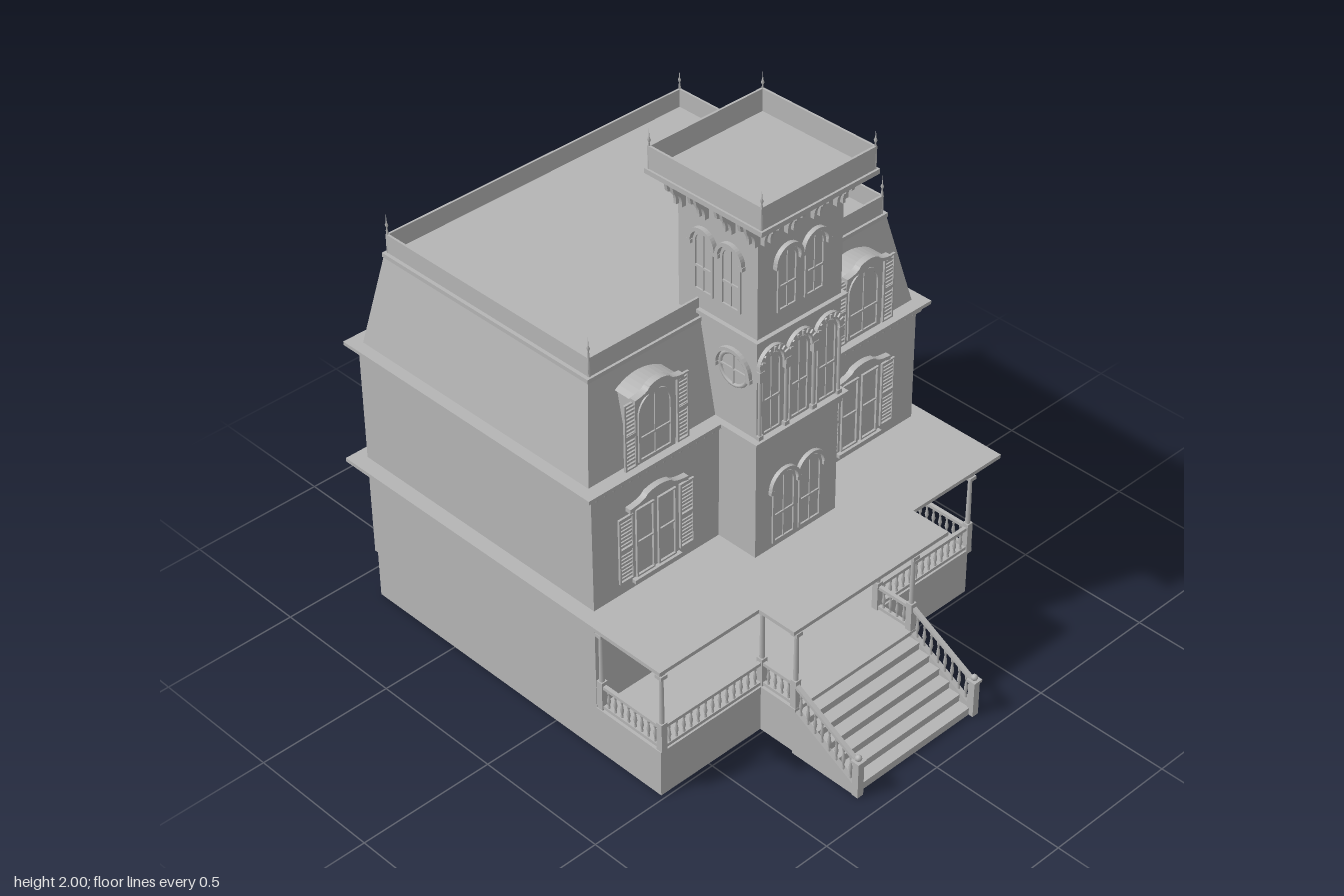
import * as THREE from 'three';
import { ConvexGeometry } from 'three/addons/geometries/ConvexGeometry.js';

const grey = new THREE.MeshStandardMaterial({ color: 0xb5b5b5 });
grey.name = 'stone grey';

function add(parent, name, geo, x = 0, y = 0, z = 0) {
  const m = new THREE.Mesh(geo, grey);
  m.name = name;
  m.position.set(x, y, z);
  parent.add(m);
  return m;
}
// Box from its limits
function box(parent, name, x0, x1, y0, y1, z0, z1) {
  add(parent, name, new THREE.BoxGeometry(x1 - x0, y1 - y0, z1 - z0),
    (x0 + x1) / 2, (y0 + y1) / 2, (z0 + z1) / 2);
}
function extrude(shape, depth) {
  return new THREE.ExtrudeGeometry(shape, { depth, bevelEnabled: false, curveSegments: 10 });
}
function lathe(points, sides) {
  return new THREE.LatheGeometry(points.map(p => new THREE.Vector2(...p)), sides);
}
// Group whose local x runs along a wall and local z points out of it
function wallFace(parent, name, x, z, angle) {
  const g = new THREE.Group();
  g.name = name;
  g.position.set(x, 0, z);
  g.rotation.y = angle;
  parent.add(g);
  return g;
}

const balusterGeo = lathe([[0.005, 0], [0.005, 0.01], [0.003, 0.014], [0.007, 0.03], [0.003, 0.055], [0.005, 0.06], [0.005, 0.075]], 6);
const finialGeo = lathe([[0.006, 0], [0.004, 0.08], [0.002, 0.09], [0.006, 0.1], [0.002, 0.11], [0, 0.14]], 6);
const dropGeo = new THREE.CylinderGeometry(0.008, 0.003, 0.014, 6);

function archPath(Type, r, y0, spring) {
  const s = new Type();
  s.moveTo(-r, y0);
  s.lineTo(r, y0);
  s.lineTo(r, spring);
  s.absarc(0, spring, r, 0, Math.PI, false);
  s.lineTo(-r, y0);
  return s;
}
function archWindow(face, x, r, y0, spring, z = 0) {
  const s = archPath(THREE.Shape, r, y0, spring);
  s.holes.push(archPath(THREE.Path, r - 0.009, y0 + 0.009, spring));
  add(face, 'arched window frame', extrude(s, 0.006), x, 0, z);
  const mid = (y0 + spring) / 2;
  box(face, 'window rail', x - r, x + r, mid - 0.004, mid + 0.004, z, z + 0.005);
  box(face, 'window mullion', x - 0.002, x + 0.002, y0, spring + r - 0.004, z, z + 0.004);
}
function archHood(face, x, spring, r, w, depth) {
  const s = new THREE.Shape();
  s.absarc(0, 0, r, 0, Math.PI, false);
  s.absarc(0, 0, r - w, Math.PI, 0, true);
  add(face, 'arch hood', extrude(s, depth), x, spring, 0);
  for (const side of [-1, 1]) {
    const c = x + side * (r - w / 2);
    box(face, 'hood stop', c - 0.008, c + 0.008, spring - 0.014, spring, 0, depth);
  }
}
function rectFrame(face, name, x0, x1, y0, y1, z, t) {
  box(face, name, x0, x0 + t, y0, y1, z, z + 0.008);
  box(face, name, x1 - t, x1, y0, y1, z, z + 0.008);
  box(face, name, x0, x1, y0, y0 + t, z, z + 0.008);
  box(face, name, x0, x1, y1 - t, y1, z, z + 0.008);
}
function shutter(face, x0, x1, y0, y1, z) {
  rectFrame(face, 'shutter frame', x0, x1, y0, y1, z, 0.006);
  const mid = (y0 + y1) / 2;
  box(face, 'shutter rail', x0, x1, mid - 0.006, mid + 0.006, z, z + 0.008);
  for (let y = y0 + 0.012; y < y1 - 0.008; y += 0.014)
    box(face, 'shutter slat', x0, x1, y, y + 0.007, z, z + 0.005);
}
// Curved crest over a window
function crest(face, x, y, half, z, depth) {
  const s = new THREE.Shape();
  s.moveTo(-half, 0);
  s.quadraticCurveTo(0, 0.035, half, 0);
  s.lineTo(half, 0.016);
  s.quadraticCurveTo(half * 0.5, 0.02, half * 0.4, 0.04);
  s.quadraticCurveTo(0, 0.058, -half * 0.4, 0.04);
  s.quadraticCurveTo(-half * 0.5, 0.02, -half, 0.016);
  add(face, 'window crest', extrude(s, depth), x, y, z);
}
function pairWindow(face, x, y0, y1) {
  const mid = (y0 + y1) / 2;
  for (const s of [-1, 1]) {
    const c = x + s * 0.046;
    rectFrame(face, 'window sash', c - 0.038, c + 0.038, y0, y1, 0, 0.006);
    box(face, 'sash bar', c - 0.038, c + 0.038, mid - 0.003, mid + 0.003, 0, 0.006);
  }
}
// Open-topped parapet with corner finials
function parapet(parent, x0, x1, y0, y1, hz) {
  const t = 0.008;
  for (const s of [-1, 1]) {
    box(parent, 'parapet side', x0, x1, y0, y1, s > 0 ? hz - t : -hz, s > 0 ? hz : -hz + t);
    const x = s > 0 ? x1 - t : x0;
    box(parent, 'parapet end', x, x + t, y0, y1, -hz, hz);
    for (const fx of [x0 + 0.004, x1 - 0.004]) add(parent, 'finial', finialGeo, fx, y0, s * (hz - 0.004));
  }
}
function railing(parent, x0, z0, x1, z1) {
  const dx = x1 - x0, dz = z1 - z0, n = Math.round(Math.hypot(dx, dz) / 0.03);
  const h = 0.007;
  for (const y of [0.2, 0.28])
    box(parent, 'porch rail', x0 - h, x1 + h, y - 0.006, y + 0.006, z0 - h, z1 + h);
  for (let i = 1; i < n; i++)
    add(parent, 'baluster', balusterGeo, x0 + dx * i / n, 0.203, z0 + dz * i / n);
}
function drops(parent, x0, z0, x1, z1, y) {
  const n = Math.round(Math.hypot(x1 - x0, z1 - z0) / 0.035);
  for (let i = 0; i <= n; i++)
    add(parent, 'eave drop', dropGeo, x0 + (x1 - x0) * i / n, y, z0 + (z1 - z0) * i / n);
}

export function createModel() {
  const house = new THREE.Group();
  house.name = 'house';

  // Main block
  box(house, 'foundation', -0.88, 0.2, 0, 0.19, -0.707, 0.707);
  box(house, 'walls', -0.885, 0.203, 0.19, 1.03, -0.714, 0.714);
  box(house, 'lower cornice', -0.93, 0.55, 0.568, 0.582, -0.768, 0.768);
  box(house, 'lower cornice bed', -0.905, 0.225, 0.555, 0.568, -0.735, 0.735);
  box(house, 'upper cornice', -0.915, 0.235, 1.032, 1.045, -0.75, 0.75);
  box(house, 'upper cornice bed', -0.895, 0.215, 1.005, 1.032, -0.725, 0.725);
  drops(house, 0.224, -0.71, 0.224, 0.71, 1.024);

  // Mansard roof
  const corners = [];
  for (const s of [-1, 1]) for (const [x, y, z] of [[-0.867, 1.045, 0.708], [0.187, 1.045, 0.708], [-0.813, 1.375, 0.64], [0.122, 1.375, 0.64]])
    corners.push(new THREE.Vector3(x, y, s * z));
  add(house, 'mansard roof', new ConvexGeometry(corners));
  box(house, 'roof ledge', -0.818, 0.127, 1.365, 1.38, -0.645, 0.645);
  parapet(house, -0.81, 0.118, 1.38, 1.447, 0.632);

  // Tower
  const tower = new THREE.Group();
  tower.name = 'tower';
  house.add(tower);
  box(tower, 'tower shaft', 0.03, 0.365, 0.575, 1.845, -0.18, 0.18);
  box(tower, 'tower lower trim', 0.15, 0.388, 1.03, 1.045, -0.203, 0.203);
  box(tower, 'tower lower trim bed', 0.15, 0.374, 1.005, 1.03, -0.19, 0.19);
  box(tower, 'tower middle trim', 0.12, 0.38, 1.4, 1.413, -0.195, 0.195);
  box(tower, 'tower cornice', -0.045, 0.445, 1.845, 1.862, -0.247, 0.247);
  box(tower, 'tower cornice bed', -0.015, 0.415, 1.832, 1.845, -0.22, 0.22);
  parapet(tower, -0.037, 0.437, 1.86, 1.94, 0.24);
  const bracket = new THREE.Shape();
  bracket.moveTo(0, 0);
  bracket.lineTo(0.016, 0);
  bracket.quadraticCurveTo(0.014, 0.05, 0.05, 0.06);
  bracket.lineTo(0.055, 0.085);
  bracket.lineTo(0, 0.085);
  const bracketGeo = extrude(bracket, 0.012);
  bracketGeo.translate(0, 0, -0.006);
  bracketGeo.rotateY(-Math.PI / 2);

  const towerFront = wallFace(tower, 'tower front', 0.365, 0, Math.PI / 2);
  const towerLeft = wallFace(tower, 'tower side', 0.1975, 0.18, 0);
  const towerRight = wallFace(tower, 'tower side', 0.1975, -0.18, Math.PI);
  const towerBack = wallFace(tower, 'tower back', 0.03, 0, -Math.PI / 2);
  for (const face of [towerFront, towerLeft, towerRight, towerBack]) {
    for (const x of [-0.165, -0.14, -0.067, -0.043, 0.043, 0.067, 0.14, 0.165])
      add(face, 'eave bracket', bracketGeo, x, 1.75, 0);
    if (face === towerBack) continue;
    for (const s of [-1, 1]) {
      archWindow(face, s * 0.058, 0.042, 1.475, 1.65);
      archHood(face, s * 0.058, 1.652, 0.057, 0.012, 0.016);
    }
  }
  // Twin arched window, then a three-bay arcade above
  for (const s of [-1, 1]) {
    archWindow(towerFront, s * 0.058, 0.05, 0.6, 0.81);
    archHood(towerFront, s * 0.058, 0.815, 0.064, 0.011, 0.014);
  }
  for (const x of [-0.12, 0, 0.12]) {
    archWindow(towerFront, x, 0.042, 1.05, 1.3);
    archHood(towerFront, x, 1.31, 0.062, 0.02, 0.014);
    for (let i = 1; i < 8; i++) {
      const a = Math.PI * i / 8;
      const block = add(towerFront, 'arch block', new THREE.BoxGeometry(0.014, 0.007, 0.02),
        x + 0.053 * Math.cos(a), 1.31 + 0.053 * Math.sin(a), 0.01);
      block.rotation.z = a;
    }
  }
  for (const x of [-0.172, -0.06, 0.06, 0.172]) {
    add(towerFront, 'colonnette', new THREE.CylinderGeometry(0.006, 0.006, 0.22, 8), x, 1.155, 0.006);
    box(towerFront, 'colonnette capital', x - 0.011, x + 0.011, 1.262, 1.3, 0, 0.016);
    box(towerFront, 'colonnette base', x - 0.01, x + 0.01, 1.045, 1.06, 0, 0.014);
  }
  // Round side windows
  for (const face of [towerLeft, towerRight]) {
    const x = (face === towerLeft ? 1 : -1) * 0.07;
    add(face, 'round window', new THREE.TorusGeometry(0.058, 0.007, 6, 24), x, 1.26, 0);
    box(face, 'round window bar', x - 0.055, x + 0.055, 1.257, 1.263, 0, 0.005);
    box(face, 'round window bar', x - 0.003, x + 0.003, 1.205, 1.315, 0, 0.005);
    archHood(face, x, 1.26, 0.078, 0.012, 0.014);
  }

  // Facade windows, dormers and shutters
  const front = wallFace(house, 'facade', 0.203, 0, Math.PI / 2);
  const top = new THREE.Shape();
  top.moveTo(-0.095, 0);
  top.lineTo(0.095, 0);
  top.quadraticCurveTo(0, 0.05, -0.095, 0);
  for (const s of [-1, 1]) {
    const c = s * 0.453;
    pairWindow(front, c, 0.62, 0.88);
    box(front, 'window sill', c - 0.1, c + 0.1, 0.605, 0.618, 0, 0.016);
    crest(front, c, 0.895, 0.122, 0, 0.022);
    pairWindow(front, c, 0.32, 0.495);
    for (const t of [-1, 1]) {
      const m = c + t * 0.128, d = c + t * 0.108;
      shutter(front, m - 0.03, m + 0.03, 0.63, 0.88, 0.002);
      shutter(front, m - 0.03, m + 0.03, 0.39, 0.49, 0.002);
      box(front, 'shutter stile', m - 0.003, m + 0.003, 0.39, 0.49, 0.002, 0.01);
      shutter(front, d - 0.024, d + 0.024, 1.055, 1.3, 0.008);
    }
    box(front, 'dormer', c - 0.086, c + 0.086, 1.045, 1.3, -0.09, 0.004);
    archWindow(front, c, 0.07, 1.055, 1.225, 0.004);
    add(front, 'dormer roof', extrude(top, 0.1), c, 1.3, -0.085);
    crest(front, c, 1.295, 0.1, 0.004, 0.024);
  }

  // Front door
  rectFrame(front, 'door frame', -0.115, 0.115, 0.2, 0.525, 0, 0.014);
  box(front, 'door leaf', -0.1, 0.1, 0.205, 0.515, 0, 0.003);
  box(front, 'door stile', -0.006, 0.006, 0.205, 0.515, 0, 0.008);
  for (const y of [0.275, 0.42, 0.49]) box(front, 'door rail', -0.1, 0.1, y - 0.005, y + 0.005, 0, 0.008);

  // Porch
  const porch = new THREE.Group();
  porch.name = 'porch';
  house.add(porch);
  box(porch, 'porch base', 0.2, 0.485, 0, 0.175, -0.707, 0.707);
  box(porch, 'porch base centre', 0.485, 0.635, 0, 0.175, -0.27, 0.27);
  box(porch, 'porch floor', 0.2, 0.495, 0.175, 0.19, -0.715, 0.715);
  box(porch, 'porch floor centre', 0.495, 0.645, 0.175, 0.19, -0.28, 0.28);
  box(porch, 'porch roof centre', 0.55, 0.7, 0.568, 0.582, -0.348, 0.348);
  const archBracket = new THREE.Shape();
  archBracket.moveTo(0, 0);
  archBracket.quadraticCurveTo(0.008, 0.05, 0.055, 0.06);
  archBracket.lineTo(0, 0.06);
  const archBracketGeo = extrude(archBracket, 0.008);
  archBracketGeo.translate(0.006, 0, -0.004);
  function post(x, z, dirs) {
    box(porch, 'post base', x - 0.012, x + 0.012, 0.19, 0.3, z - 0.012, z + 0.012);
    add(porch, 'post shaft', new THREE.CylinderGeometry(0.007, 0.009, 0.19, 8), x, 0.395, z);
    box(porch, 'post capital', x - 0.014, x + 0.014, 0.482, 0.496, z - 0.014, z + 0.014);
    box(porch, 'post head', x - 0.009, x + 0.009, 0.496, 0.556, z - 0.009, z + 0.009);
    for (const a of dirs) add(porch, 'post bracket', archBracketGeo, x, 0.492, z).rotation.y = a * Math.PI / 2;
  }
  for (const s of [-1, 1]) {
    post(0.215, s * 0.7, [0]);
    post(0.484, s * 0.7, [2, s]);
    post(0.484, s * 0.265, [0, -s]);
    post(0.632, s * 0.265, [2, s]);
    railing(porch, 0.215, s * 0.7, 0.484, s * 0.7);
    railing(porch, 0.484, s > 0 ? 0.265 : -0.7, 0.484, s > 0 ? 0.7 : -0.265);
    railing(porch, 0.484, s * 0.265, 0.632, s * 0.265);
    box(porch, 'side beam', 0.2, 0.495, 0.55, 0.568, s * 0.7 - 0.012, s * 0.7 + 0.012);
    box(porch, 'front beam', 0.472, 0.496, 0.55, 0.568, s * 0.4825 - 0.2175, s * 0.4825 + 0.2175);
    box(porch, 'centre side beam', 0.484, 0.644, 0.55, 0.568, s * 0.265 - 0.012, s * 0.265 + 0.012);
    drops(porch, 0.23, s * 0.745, 0.53, s * 0.745, 0.561);
    drops(porch, 0.53, s * 0.35, 0.53, s * 0.745, 0.561);
    drops(porch, 0.55, s * 0.33, 0.68, s * 0.33, 0.561);
  }
  box(porch, 'centre front beam', 0.62, 0.644, 0.55, 0.568, -0.265, 0.265);
  drops(porch, 0.68, -0.33, 0.68, 0.33, 0.561);

  // Front steps with sloping rails
  for (let i = 0; i < 6; i++)
    box(porch, 'step', 0.635, 0.68 + i * 0.045, 0, 0.163 - i * 0.027, -0.26, 0.26);
  const stringer = new THREE.Shape([[0.635, 0], [0.92, 0], [0.92, 0.03], [0.635, 0.185]].map(p => new THREE.Vector2(...p)));
  const slope = Math.atan2(-0.15, 0.28);
  for (const s of [-1, 1]) {
    add(porch, 'stair stringer', extrude(stringer, 0.02), 0, 0, s * 0.268 - 0.01);
    add(porch, 'stair handrail', new THREE.BoxGeometry(0.31, 0.012, 0.016), 0.773, 0.207, s * 0.268).rotation.z = slope;
    for (let i = 0; i < 8; i++)
      add(porch, 'stair baluster', balusterGeo, 0.66 + i * 0.031, 0.167 - i * 0.0168, s * 0.268).scale.y = 1.28;
    box(porch, 'newel post', 0.896, 0.922, 0, 0.135, s * 0.268 - 0.013, s * 0.268 + 0.013);
    box(porch, 'newel cap', 0.891, 0.927, 0.135, 0.145, s * 0.268 - 0.018, s * 0.268 + 0.018);
    add(porch, 'newel ball', new THREE.SphereGeometry(0.012, 10, 6), 0.909, 0.153, s * 0.268);
  }
  return house;
}
